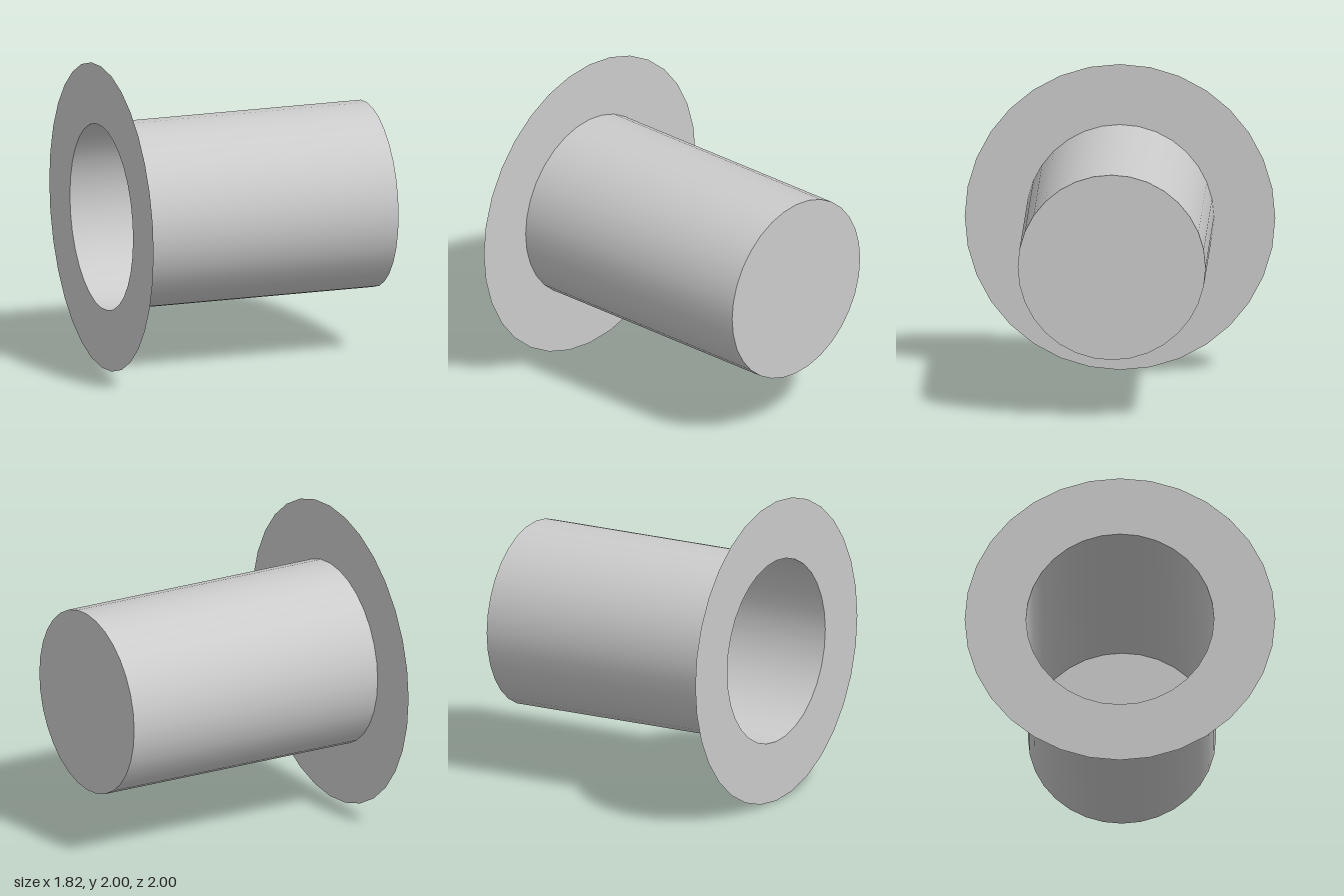
import * as THREE from 'three';

const SIDES = 32;
const TUBE_RADIUS = 0.605;
const FLANGE_RADIUS = 1;
const LENGTH = 1.815;

export function createModel() {
  const group = new THREE.Group();
  group.name = 'flangedCup';
  const material = new THREE.MeshStandardMaterial({ color: 0xcccccc, side: THREE.DoubleSide });

  const add = (name, geometry, x) => {
    const mesh = new THREE.Mesh(geometry, material);
    mesh.name = name;
    mesh.position.set(x, FLANGE_RADIUS, 0);
    group.add(mesh);
  };

  // Thin smooth barrel lying along x
  add('barrel', new THREE.CylinderGeometry(TUBE_RADIUS, TUBE_RADIUS, LENGTH, SIDES, 1, true).rotateZ(-Math.PI / 2), 0);

  // Flat disc closing the left end
  add('endCap', new THREE.CircleGeometry(TUBE_RADIUS, SIDES).rotateY(Math.PI / 2), LENGTH / 2);

  // Flat flange around the open right end
  add('flange', new THREE.RingGeometry(TUBE_RADIUS, FLANGE_RADIUS, SIDES).rotateY(-Math.PI / 2), -LENGTH / 2);

  return group;
}
